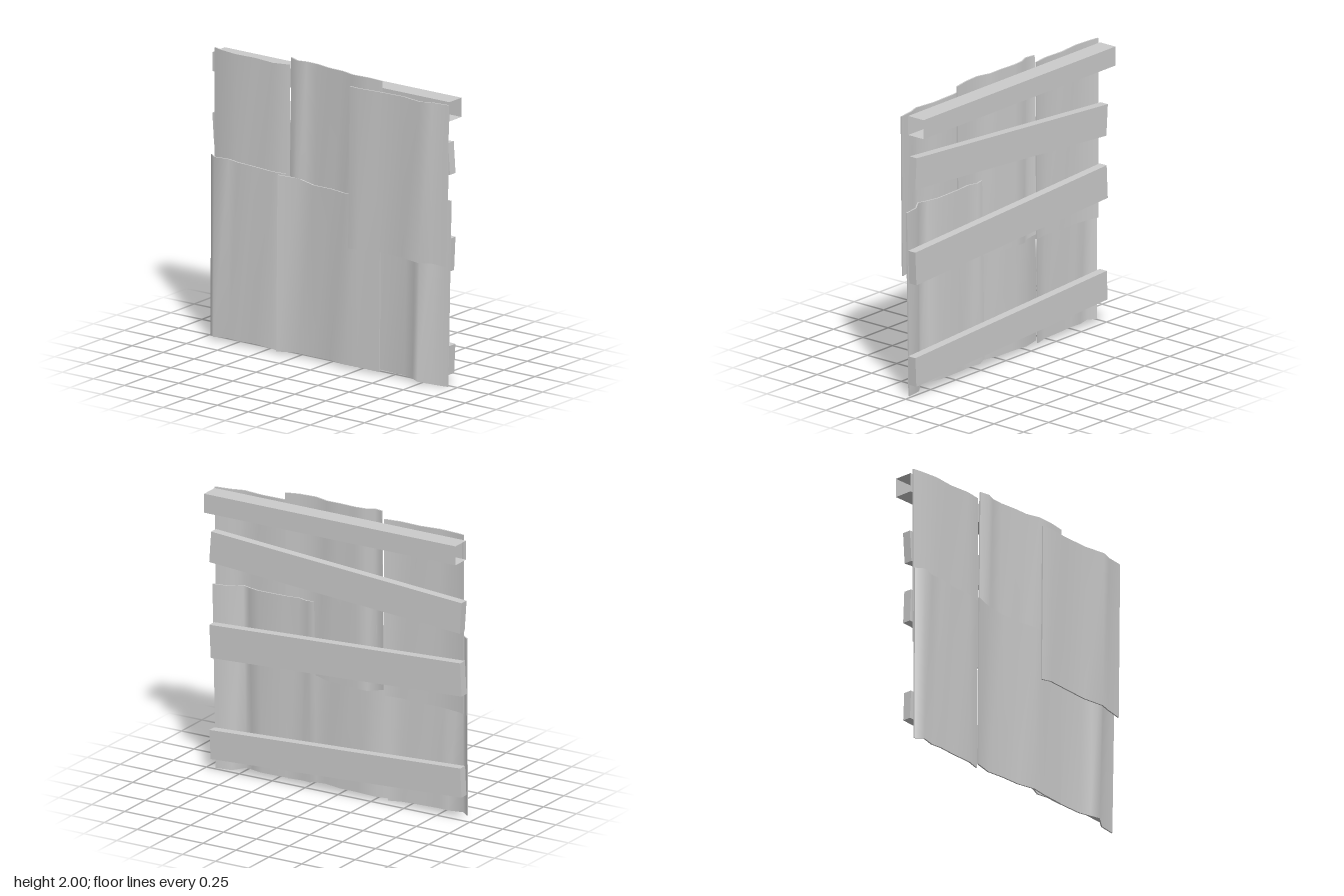
import * as THREE from 'three';

const material = new THREE.MeshStandardMaterial({ color: 0xcccccc, side: THREE.DoubleSide });

// Bent metal sheet. Each station along z: [z, x, top y, bottom y]; lean shears the sheet along z.
function sheet(name, lean, stations, thickness = 0.01) {
  const n = stations.length - 1;
  const geo = new THREE.BoxGeometry(1, 1, 1, 1, 1, n);
  const p = geo.attributes.position;
  for (let i = 0; i < p.count; i++) {
    const [z, x, top, bottom] = stations[Math.round((p.getZ(i) + 0.5) * n)];
    const up = p.getY(i);
    p.setXYZ(i, x + p.getX(i) * thickness, up > 0 ? top : bottom, z + lean * up);
  }
  geo.computeVertexNormals();
  const mesh = new THREE.Mesh(geo, material);
  mesh.name = name;
  return mesh;
}

// Slanted wooden batten, centred at height y
function batten(name, y, height, slope) {
  const mesh = new THREE.Mesh(new THREE.BoxGeometry(0.06, height, 1.908), material);
  mesh.position.set(0.012, y, -0.006);
  mesh.rotation.x = slope;
  mesh.name = name;
  return mesh;
}

export function createModel() {
  const group = new THREE.Group();

  // Square top beam, open at both ends
  const tube = new THREE.CylinderGeometry(0.065 * Math.SQRT2, 0.065 * Math.SQRT2, 1.91, 4, 1, true)
    .rotateY(Math.PI / 4).rotateX(Math.PI / 2).toNonIndexed();
  tube.computeVertexNormals();
  const beam = new THREE.Mesh(tube, material);
  beam.position.set(0.045, 1.855, -0.005);
  beam.name = 'topBeam';
  group.add(beam);

  group.add(
    batten('upperBatten', 1.47, 0.212, -0.069),
    batten('middleBatten', 0.935, 0.226, 0.05),
    batten('lowerBatten', 0.228, 0.198, 0.05),
  );

  // Upper row of sheets
  group.add(
    sheet('upperFrontSheet', 0.012, [
      [0.2, -0.097, 1.915, 0.82], [0.28, -0.104, 1.915, 0.83], [0.42, -0.087, 1.914, 0.835],
      [0.62, -0.08, 1.915, 0.83], [0.77, -0.104, 1.912, 0.825], [0.85, -0.075, 1.914, 0.83],
      [0.967, -0.06, 1.913, 0.82],
    ]),
    sheet('upperMiddleSheet', 0.015, [
      [-0.323, -0.03, 2.0, 0.775], [-0.26, -0.05, 1.995, 0.755], [-0.2, -0.028, 1.992, 0.745],
      [-0.12, -0.025, 1.99, 0.748], [0.0, -0.04, 1.986, 0.748], [0.1, -0.04, 1.985, 0.75],
      [0.2, -0.068, 1.985, 0.76], [0.32, -0.06, 1.985, 0.76], [0.423, -0.05, 1.978, 0.755],
    ]),
    sheet('upperBackSheet', 0, [
      [-0.94, -0.023, 1.955, 0.728], [-0.88, -0.035, 1.953, 0.73], [-0.75, -0.05, 1.95, 0.732],
      [-0.6, -0.037, 1.948, 0.735], [-0.45, -0.05, 1.945, 0.735], [-0.335, -0.028, 1.948, 0.738],
    ]),
  );

  // Lower row of sheets
  group.add(
    sheet('lowerFrontSheet', 0.025, [
      [0.193, -0.032, 1.28, 0.06], [0.24, -0.03, 1.275, 0.035], [0.31, -0.05, 1.275, 0.03],
      [0.42, -0.042, 1.273, 0.03], [0.62, -0.043, 1.27, 0.027], [0.7, -0.065, 1.268, 0.025],
      [0.76, -0.09, 1.265, 0.02], [0.84, -0.038, 1.262, 0.004], [0.953, -0.022, 1.26, 0.003],
    ]),
    sheet('lowerMiddleSheet', 0.01, [
      [-0.39, -0.085, 1.21, 0.02], [-0.25, -0.045, 1.2, 0.025], [-0.12, -0.055, 1.18, 0.026],
      [0.02, -0.055, 1.18, 0.027], [0.15, -0.08, 1.18, 0.028], [0.25, -0.068, 1.175, 0.025],
      [0.42, -0.06, 1.17, 0.02],
    ]),
    sheet('lowerBackSheet', 0.005, [
      [-0.953, -0.045, 1.24, 0.027], [-0.9, -0.085, 1.24, 0.028], [-0.8, -0.058, 1.235, 0.03],
      [-0.72, -0.068, 1.23, 0.028], [-0.6, -0.055, 1.22, 0.03], [-0.45, -0.062, 1.215, 0.022],
      [-0.355, -0.038, 1.21, 0.02],
    ]),
  );

  return group;
}
